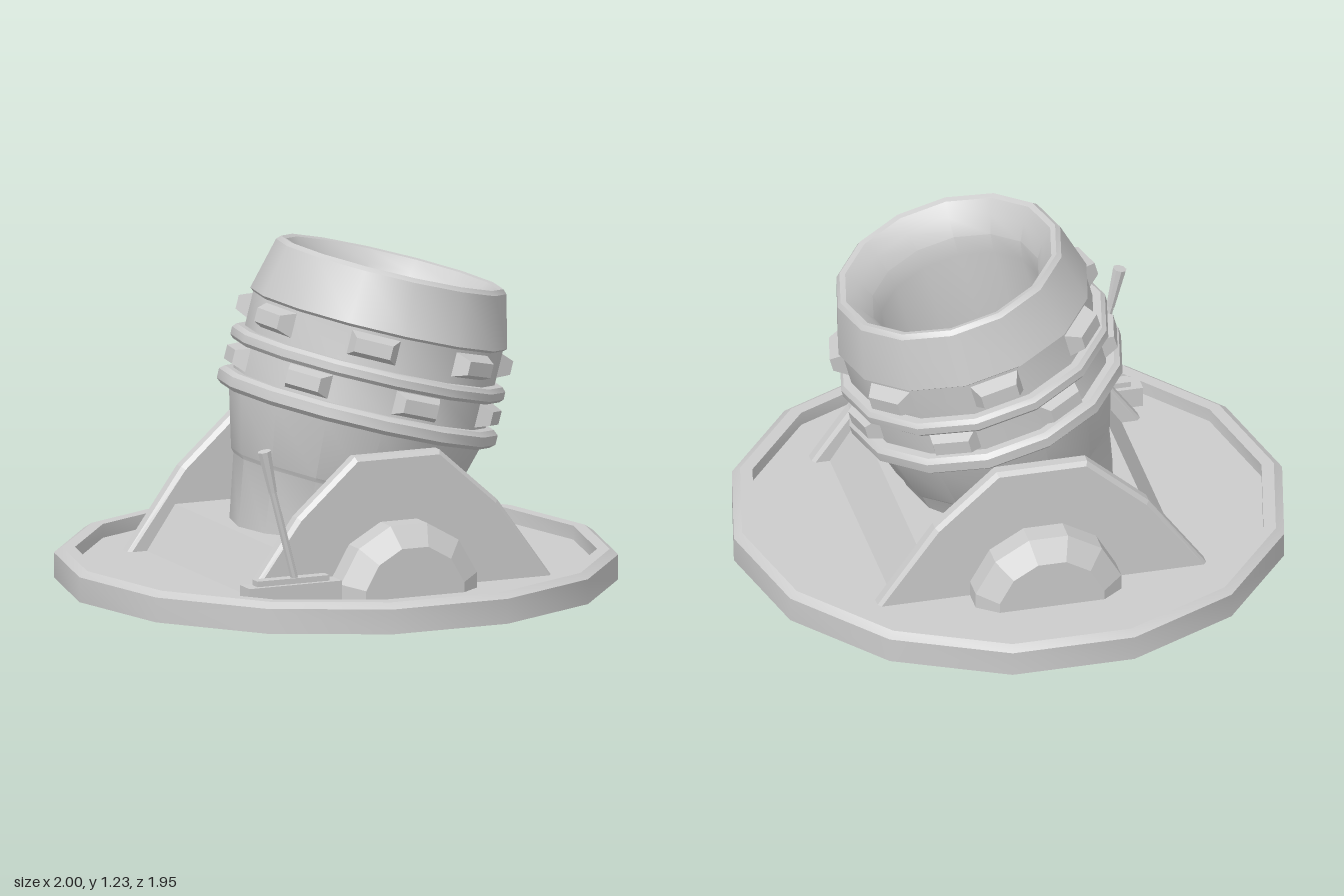
import * as THREE from 'three';
import { toCreasedNormals } from 'three/addons/utils/BufferGeometryUtils.js';

const SIDES = 14;
const grey = new THREE.MeshStandardMaterial({ color: 0xcccccc, side: THREE.DoubleSide });
const flat = new THREE.MeshStandardMaterial({ color: 0xcccccc, flatShading: true });

function add(parent, name, geometry, material = flat) {
  const mesh = new THREE.Mesh(geometry, material);
  mesh.name = name;
  parent.add(mesh);
  return mesh;
}

// Faceted turned part with a corner on the x axis
function turned(profile) {
  const points = profile.map(([r, y]) => new THREE.Vector2(r, y));
  return toCreasedNormals(new THREE.LatheGeometry(points, SIDES, Math.PI / 2), 0.5);
}

// Box whose front (+z) face is shrunk
function taperedBlock(w, h, d, sx, sy) {
  const g = new THREE.BoxGeometry(w, h, d);
  const p = g.attributes.position;
  for (let i = 0; i < p.count; i++) {
    if (p.getZ(i) > 0) p.setXY(i, p.getX(i) * sx, p.getY(i) * sy);
  }
  g.computeVertexNormals();
  return g;
}

function extruded(points, depth, bevel = 0) {
  const shape = new THREE.Shape(points.map(([x, y]) => new THREE.Vector2(x, y)));
  const g = new THREE.ExtrudeGeometry(shape, {
    depth: depth - 2 * bevel, bevelEnabled: bevel > 0, bevelSegments: 1,
    bevelSize: bevel, bevelThickness: bevel, bevelOffset: -bevel,
  });
  return g.translate(0, 0, -depth / 2 + bevel);
}

// Tapered rod between two points
function rod(parent, name, a, b, rBottom, rTop) {
  const from = new THREE.Vector3(...a), to = new THREE.Vector3(...b);
  const dir = to.clone().sub(from);
  const mesh = add(parent, name, new THREE.CylinderGeometry(rTop, rBottom, dir.length(), 8));
  mesh.position.copy(from).add(to).multiplyScalar(0.5);
  mesh.quaternion.setFromUnitVectors(new THREE.Vector3(0, 1, 0), dir.normalize());
}

function buildBarrel() {
  const barrel = new THREE.Group();
  barrel.name = 'barrel';
  // Outer wall, bands, flared muzzle, then the bore down to its floor
  add(barrel, 'barrelBody', turned([
    [0, 0.03], [0.345, 0.03], [0.388, 0.27], [0.4, 0.285], [0.46, 0.5],
    [0.49, 0.5], [0.508, 0.515], [0.508, 0.55], [0.49, 0.565], [0.46, 0.565],
    [0.46, 0.665], [0.485, 0.665], [0.498, 0.678], [0.498, 0.705], [0.485, 0.72], [0.455, 0.72],
    [0.455, 0.845], [0.468, 0.855], [0.42, 1.045], [0.405, 1.06], [0.385, 1.055],
    [0.345, 1.01], [0.31, 0.95], [0.295, 0.88], [0.295, 0.4], [0, 0.4],
  ]), grey);

  // Two staggered rows of studs on alternate faces
  const stud = taperedBlock(0.19, 0.1, 0.07, 0.7, 0.5);
  [[0.617, 0], [0.79, 0.5]].forEach(([height, shift]) => {
    for (let i = 0; i < SIDES / 2; i++) {
      const a = Math.PI / 2 + (i + shift) * (4 * Math.PI / SIDES);
      const mesh = add(barrel, 'stud', stud);
      mesh.position.set(0.463 * Math.cos(a), height, 0.463 * Math.sin(a));
      mesh.rotation.y = Math.PI / 2 - a;
    }
  });
  barrel.position.set(-0.055, 0.1, 0);
  barrel.rotation.z = -Math.PI / 12;
  return barrel;
}

function buildCarriage() {
  const carriage = new THREE.Group();
  carriage.name = 'carriage';
  // Cradle block with sloping ends
  add(carriage, 'cradle', extruded(
    [[-0.54, 0.045], [0.545, 0.045], [0.43, 0.22], [-0.42, 0.22]], 0.94));

  // Bevelled side plates, each with a domed pivot hub
  const plate = extruded([[-0.61, 0.045], [0.61, 0.045], [0.39, 0.35],
    [0.165, 0.55], [-0.165, 0.55], [-0.39, 0.35]], 0.066, 0.015);
  for (const side of [1, -1]) {
    const group = new THREE.Group();
    group.name = side > 0 ? 'frontSide' : 'backSide';
    add(group, 'sidePlate', plate);
    const hubShape = [];
    // Upper part of a twelve-sided hub, cut off just under the floor
    for (let i = 0; i < 8; i++) {
      const a = (-15 + i * 30) * Math.PI / 180;
      if (i < 8 && a < Math.PI * 1.1) hubShape.push([Math.cos(a), Math.max(Math.sin(a), 0)]);
    }
    const outline = (r) => hubShape.map(([x, y]) => [x * r, y * r]);
    const hub = add(group, 'hubBase', extruded(outline(0.275), 0.09));
    hub.position.set(0, 0.045, side * 0.073);
    const cap = taperedBlockFrom(extruded(outline(0.275), 0.055), side, 0.72);
    add(group, 'hubCap', cap).position.set(0, 0.045, side * 0.1455);
    group.position.z = 0.008 + side * 0.492;
    carriage.add(group);
  }
  return carriage;
}

// Shrinks one end of an extrusion to make a chamfer
function taperedBlockFrom(g, side, scale) {
  const p = g.attributes.position;
  for (let i = 0; i < p.count; i++) {
    if (p.getZ(i) * side > 0) p.setXY(i, p.getX(i) * scale, p.getY(i) * scale);
  }
  g.computeVertexNormals();
  return g;
}

function buildLever() {
  const lever = new THREE.Group();
  lever.name = 'lever';
  add(lever, 'leverBase', new THREE.BoxGeometry(0.36, 0.075, 0.08)).position.set(-0.45, 0.0975, 0.597);
  add(lever, 'leverSlot', new THREE.BoxGeometry(0.28, 0.025, 0.044)).position.set(-0.45, 0.1425, 0.597);
  rod(lever, 'leverStem', [-0.435, 0.14, 0.6], [-0.53, 0.5, 0.6], 0.014, 0.014);
  rod(lever, 'leverHandle', [-0.522, 0.47, 0.6], [-0.555, 0.62, 0.6], 0.016, 0.025);
  return lever;
}

export function createModel() {
  const model = new THREE.Group();
  model.name = 'mortar';
  // Open-bottomed base with a raised rim
  add(model, 'base', turned([[1, 0], [1, 0.09], [0.97, 0.11], [0.925, 0.11],
    [0.925, 0.06], [0, 0.06]]), grey);
  model.add(buildCarriage(), buildBarrel(), buildLever());
  return model;
}
